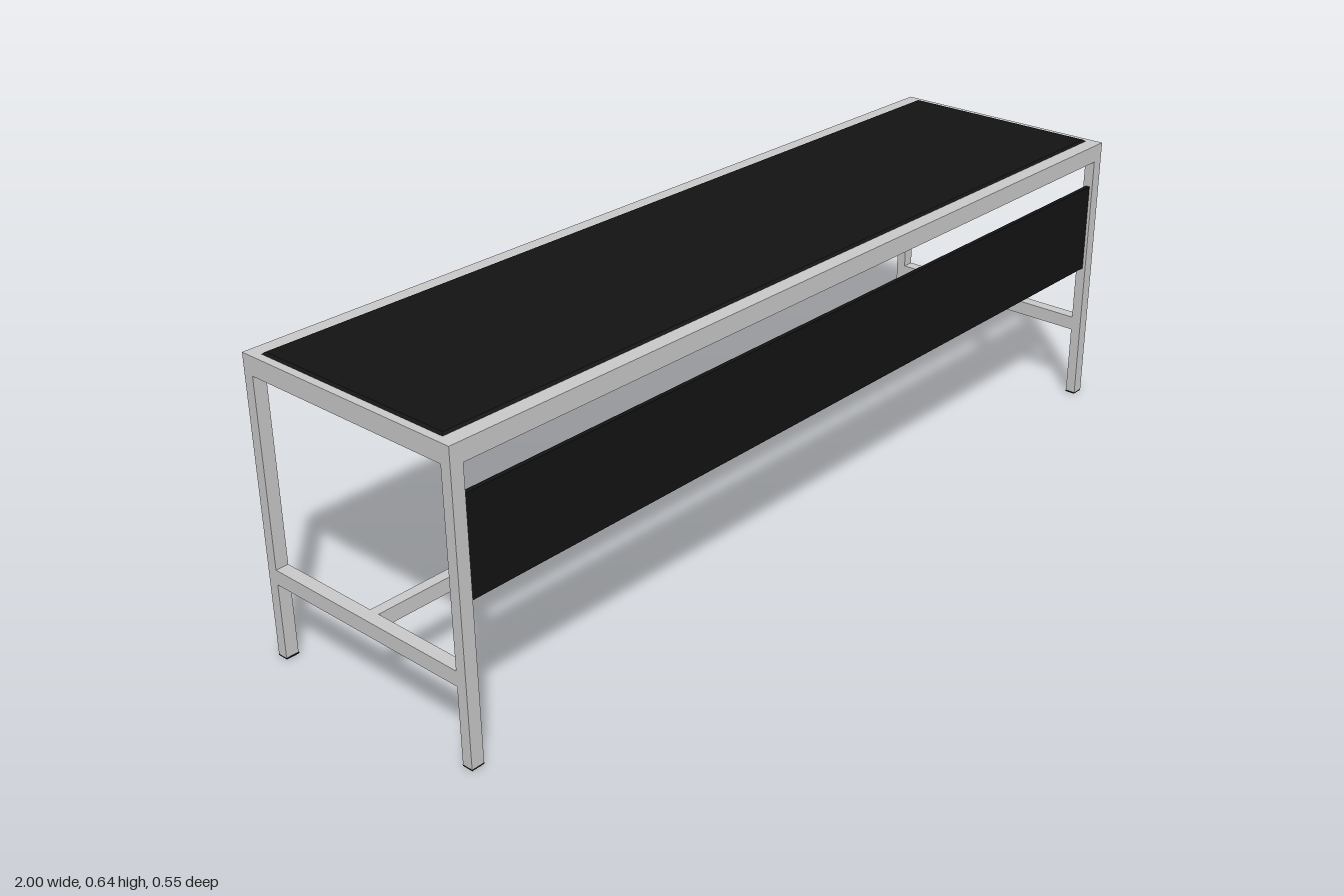
import * as THREE from 'three';

const grey = new THREE.MeshStandardMaterial({ color: 0xcccccc });
const black = new THREE.MeshStandardMaterial({ color: 0x131313 });

const X = 1, Z = 0.273;            // half length and half depth
const LEG_X = 0.028, LEG_Z = 0.0235; // leg section
const TOP_LOW = 0.597, TOP_HIGH = 0.637;
const RAIL_LOW = 0.166, RAIL_HIGH = 0.198;
const PAD = 0.003;

export function createModel() {
  const group = new THREE.Group();
  group.name = 'bench';

  // Box given by its minimum and maximum on each axis
  function box(name, material, [x0, x1], [y0, y1], [z0, z1]) {
    const mesh = new THREE.Mesh(new THREE.BoxGeometry(x1 - x0, y1 - y0, z1 - z0), material);
    mesh.position.set((x0 + x1) / 2, (y0 + y1) / 2, (z0 + z1) / 2);
    mesh.name = name;
    group.add(mesh);
    return mesh;
  }

  // Solid top slab
  box('topFrame', grey, [-X, X], [TOP_LOW, TOP_HIGH], [-Z, Z]);

  // Black surface pad with sloping edges
  const surface = box('topSurface', black, [-0.984, 0.984], [TOP_HIGH - 0.001, 0.6415], [-0.24, 0.24]);
  const p = surface.geometry.attributes.position;
  for (let i = 0; i < p.count; i++) {
    if (p.getY(i) > 0) {
      p.setX(i, p.getX(i) - Math.sign(p.getX(i)) * 0.006);
      p.setZ(i, p.getZ(i) - Math.sign(p.getZ(i)) * 0.006);
    }
  }
  surface.geometry.computeVertexNormals();

  for (const sx of [-1, 1]) {
    const side = sx < 0 ? 'right' : 'left';
    const xr = sx < 0 ? [-X, -X + LEG_X] : [X - LEG_X, X];

    // Legs with black foot pads
    for (const sz of [-1, 1]) {
      const end = sz < 0 ? 'Back' : 'Front';
      const zr = sz < 0 ? [-Z, -Z + LEG_Z] : [Z - LEG_Z, Z];
      box(`${side}${end}Leg`, grey, xr, [PAD, TOP_LOW], zr);
      const g = 0.0008;
      box(`${side}${end}FootPad`, black, [xr[0] - (sx > 0 ? g : 0), xr[1] + (sx < 0 ? g : 0)],
        [0, PAD], [zr[0] - (sz > 0 ? g : 0), zr[1] + (sz < 0 ? g : 0)]);
    }

    // Low rail joining the front and back legs
    box(`${side}SideRail`, grey, xr, [RAIL_LOW, RAIL_HIGH], [-Z + LEG_Z, Z - LEG_Z]);
  }

  // Long stretcher between the side rails
  box('stretcher', grey, [-X + LEG_X, X - LEG_X], [RAIL_LOW, RAIL_HIGH], [-LEG_Z / 2, LEG_Z / 2]);

  // Panel between the front legs
  box('frontPanel', black, [-X + LEG_X, X - LEG_X], [0.33, 0.535], [0.256, 0.266]);

  return group;
}
